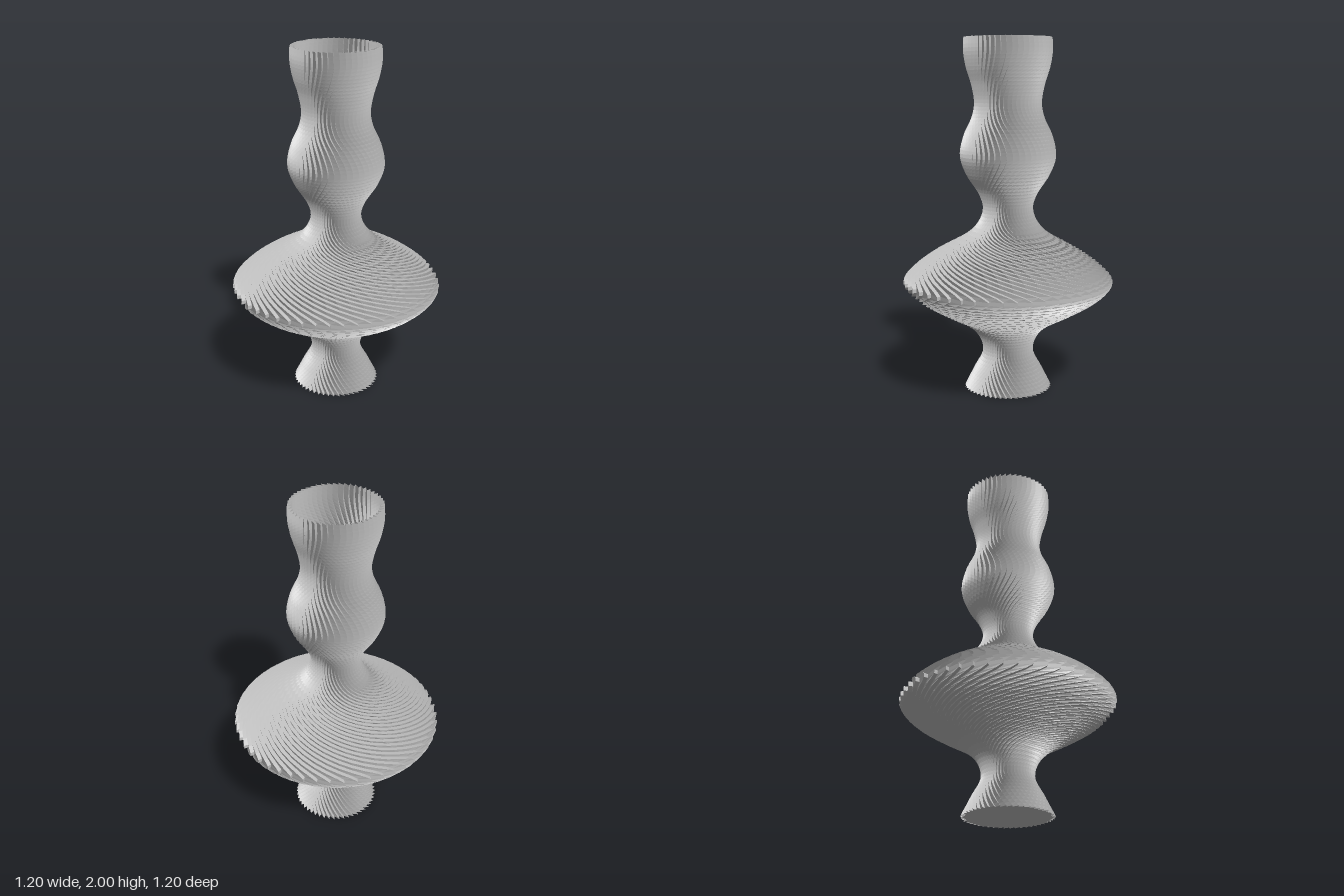
import * as THREE from 'three';

const TEETH = 50;      // saw teeth around the vase
const LAYERS = 100;    // cross-sections up the height
const DEPTH = 0.024;   // tooth depth
const RIM = 0.6;       // widest radius
const SWIRL = 6.1;     // twist in radians per unit of radius lost

// Profile as [height, tip radius]
const PROFILE = [
  [0, 0.25], [0.1, 0.2], [0.22, 0.145], [0.3, 0.168], [0.37, 0.235], [0.47, 0.415],
  [0.55, 0.54], [0.63, 0.6], [0.71, 0.54], [0.8, 0.415], [0.9, 0.235], [0.97, 0.168],
  [1.05, 0.143], [1.13, 0.168], [1.24, 0.238], [1.35, 0.272], [1.46, 0.25],
  [1.56, 0.205], [1.64, 0.19], [1.74, 0.206], [1.84, 0.236], [1.94, 0.25], [2, 0.247],
];

// Slope at a profile point, level at peaks and necks
function slope(i) {
  const a = PROFILE[Math.max(i - 1, 0)];
  const b = PROFILE[i];
  const c = PROFILE[Math.min(i + 1, PROFILE.length - 1)];
  if ((b[1] - a[1]) * (c[1] - b[1]) < 0) return 0;
  return (c[1] - a[1]) / (c[0] - a[0]);
}

// Smooth radius at a height
function radiusAt(y) {
  let i = 0;
  while (i < PROFILE.length - 2 && y > PROFILE[i + 1][0]) i++;
  const [y0, r0] = PROFILE[i];
  const [y1, r1] = PROFILE[i + 1];
  const h = y1 - y0, t = (y - y0) / h, t2 = t * t, t3 = t2 * t;
  return r0 * (2 * t3 - 3 * t2 + 1) + r1 * (3 * t2 - 2 * t3)
    + h * slope(i) * (t3 - 2 * t2 + t) + h * slope(i + 1) * (t3 - t2);
}

// One saw-toothed ring: tip, then the valley just before the next tip
function sawRing(y) {
  const r = radiusAt(y);
  const twist = SWIRL * (RIM - r);
  const step = (Math.PI * 2) / TEETH;
  const ring = [];
  for (let j = 0; j < TEETH; j++) {
    const tip = j * step + twist;
    const valley = tip + step * 0.98;
    ring.push([r * Math.cos(tip), y, r * Math.sin(tip)]);
    ring.push([(r - DEPTH) * Math.cos(valley), y, (r - DEPTH) * Math.sin(valley)]);
  }
  return ring;
}

// Separate triangles give crisp flat faces
function facetedGeometry(positions) {
  const geometry = new THREE.BufferGeometry();
  geometry.setAttribute('position', new THREE.Float32BufferAttribute(positions, 3));
  geometry.computeVertexNormals();
  return geometry;
}

export function createModel() {
  const group = new THREE.Group();
  group.name = 'twistedVase';
  const grey = new THREE.MeshStandardMaterial({ color: 0xbfbfbf, side: THREE.DoubleSide });
  grey.name = 'grey';

  const rings = [];
  for (let i = 0; i <= LAYERS; i++) rings.push(sawRing((2 * i) / LAYERS));
  const count = TEETH * 2;

  // Swirling toothed wall, open at the top
  const wall = [];
  for (let i = 0; i < LAYERS; i++) {
    for (let j = 0; j < count; j++) {
      const k = (j + 1) % count;
      const a = rings[i][j], b = rings[i][k];
      const c = rings[i + 1][j], d = rings[i + 1][k];
      wall.push(...a, ...c, ...b, ...b, ...c, ...d);
    }
  }
  const wallMesh = new THREE.Mesh(facetedGeometry(wall), grey);
  wallMesh.name = 'vaseWall';
  group.add(wallMesh);

  // Flat toothed base
  const base = [];
  for (let j = 0; j < count; j++) {
    base.push(0, 0, 0, ...rings[0][j], ...rings[0][(j + 1) % count]);
  }
  const baseMesh = new THREE.Mesh(facetedGeometry(base), grey);
  baseMesh.name = 'vaseBase';
  group.add(baseMesh);

  return group;
}
